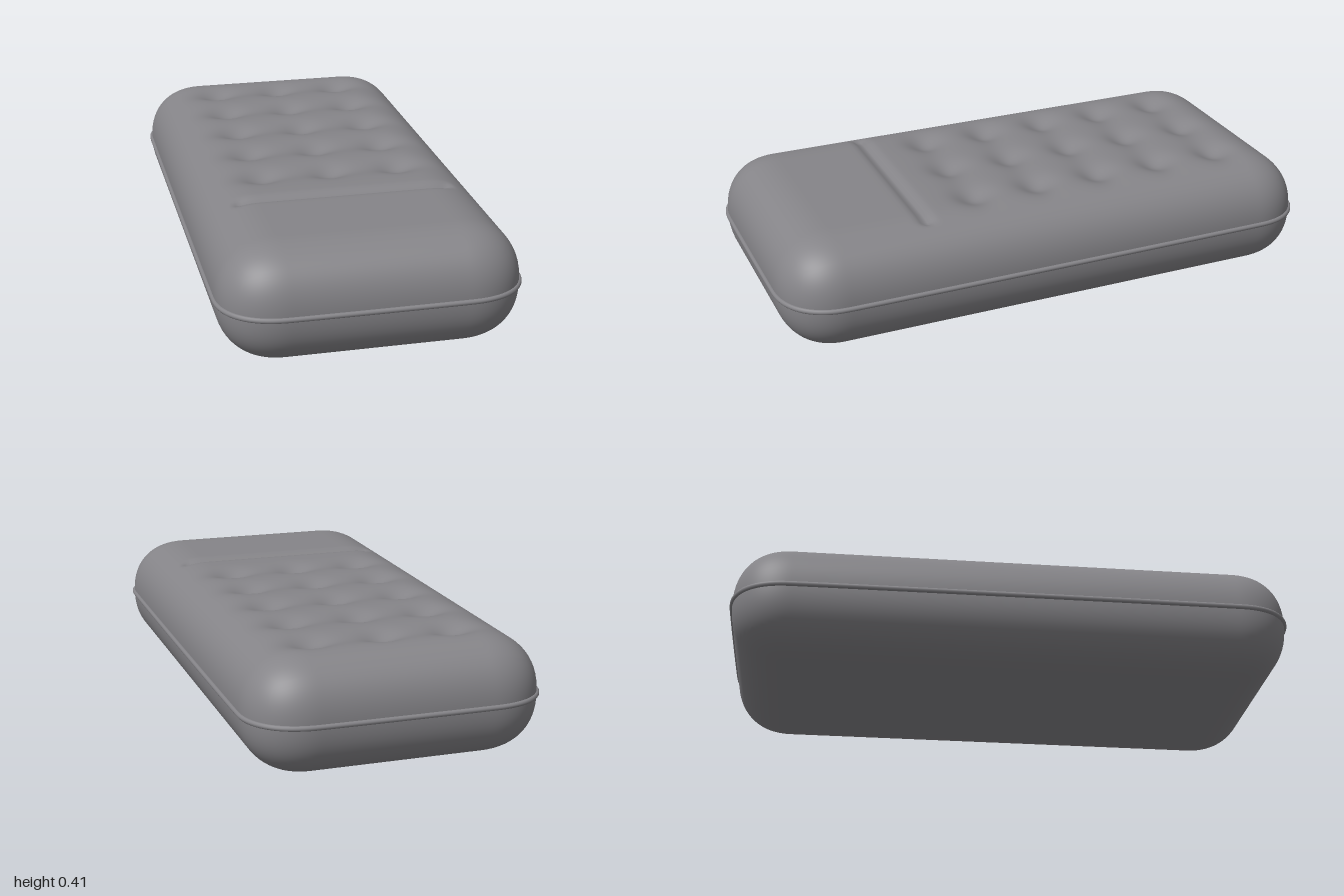
import * as THREE from 'three';
import { mergeVertices } from 'three/addons/utils/BufferGeometryUtils.js';

const HALF = { x: 0.512, y: 0.203, z: 0.99 };   // half sizes of the cushion
const ROUND = { x: 0.22, y: 0.203, z: 0.21 };   // edge rounding along each axis
const MID = 0.207;                              // height of the seam
const POWER = 2.3;                              // soft, slightly squared edges
const AXES = ['x', 'y', 'z'];

const bump = (d, width) => Math.exp(-((d / width) ** 2));
const fadeOutside = (v, limit, soft) => 1 - THREE.MathUtils.smoothstep(Math.abs(v), limit - soft, limit);

// Depth of the tufts, quilting and cross groove at a point of the top
function sunk(x, z) {
  let depth = 0.018 * bump(z - 0.46, 0.022) * fadeOutside(x, 0.4, 0.04);
  for (let row = 0; row < 5; row++) {
    const dz = z - 0.24 + row * 0.24;
    depth += 0.011 * bump(dz, 0.065) * fadeOutside(x, 0.42, 0.14);
    for (const tx of [-0.245, 0, 0.245]) {
      depth += 0.022 * bump(Math.hypot(x - tx, dz), 0.06);
    }
  }
  return depth;
}

// Pulls a point of the box onto the rounded pillow shape
function roundPoint(p) {
  const core = new THREE.Vector3();
  const d = new THREE.Vector3();
  let sum = 0;
  for (const a of AXES) {
    const limit = HALF[a] - ROUND[a];
    core[a] = THREE.MathUtils.clamp(p[a], -limit, limit);
    d[a] = (p[a] - core[a]) / ROUND[a];
    sum += Math.abs(d[a]) ** POWER;
  }
  const k = 1 / sum ** (1 / POWER);
  for (const a of AXES) p[a] = core[a] + d[a] * k * ROUND[a];
  return p;
}

function cushionGeometry() {
  let geo = new THREE.BoxGeometry(HALF.x * 2, HALF.y * 2, HALF.z * 2, 72, 18, 144);
  geo.deleteAttribute('uv');
  geo.deleteAttribute('normal');
  geo = mergeVertices(geo, 1e-5);
  const pos = geo.attributes.position;
  const p = new THREE.Vector3();
  for (let i = 0; i < pos.count; i++) {
    roundPoint(p.fromBufferAttribute(pos, i));
    const top = THREE.MathUtils.smoothstep(p.y, 0.1, 0.18);
    pos.setXYZ(i, p.x, p.y + MID - top * sunk(p.x, p.z), p.z);
  }
  geo.computeVertexNormals();
  return geo;
}

// Closed path around the widest line of the cushion
function seamCurve() {
  const points = [];
  for (let corner = 0; corner < 4; corner++) {
    for (let i = 0; i <= 12; i++) {
      const t = (corner + i / 12) * Math.PI / 2;
      const c = Math.cos(t), s = Math.sin(t);
      const sx = corner === 0 || corner === 3 ? 1 : -1;
      const sz = corner < 2 ? 1 : -1;
      points.push(new THREE.Vector3(
        sx * (HALF.x - ROUND.x + ROUND.x * Math.abs(c) ** (2 / POWER)), MID,
        sz * (HALF.z - ROUND.z + ROUND.z * Math.abs(s) ** (2 / POWER))));
    }
  }
  return new THREE.CatmullRomCurve3(points, true, 'centripetal');
}

export function createModel() {
  const group = new THREE.Group();
  group.name = 'mattress';
  const fabric = new THREE.MeshStandardMaterial({ color: 0x858488 });
  fabric.name = 'grey fabric';

  const cushion = new THREE.Mesh(cushionGeometry(), fabric);
  cushion.name = 'tuftedCushion';

  // Piping along the side seam
  const piping = new THREE.Mesh(new THREE.TubeGeometry(seamCurve(), 320, 0.009, 10, true), fabric);
  piping.name = 'seamPiping';

  group.add(cushion, piping);
  return group;
}
